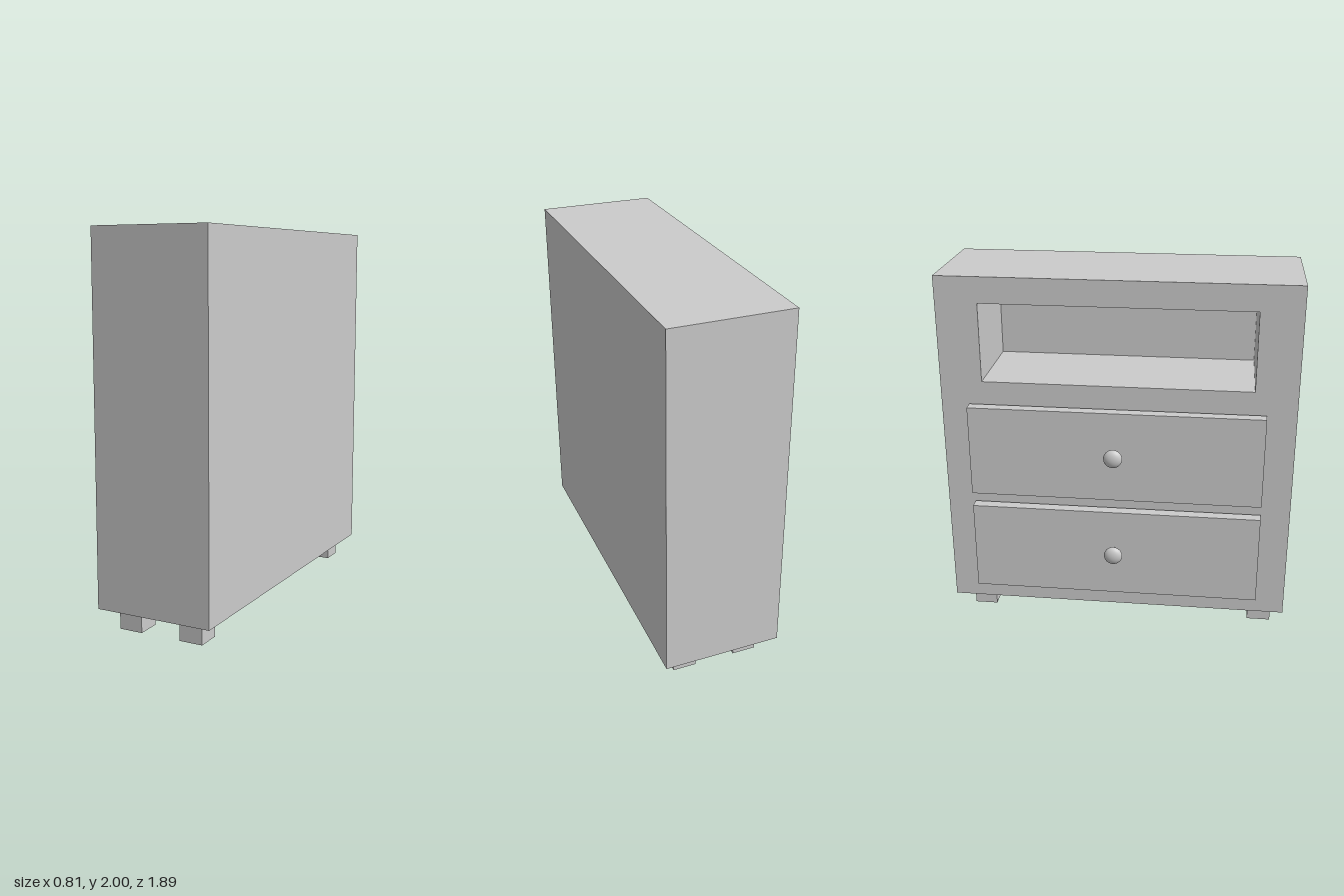
import * as THREE from 'three';

const material = new THREE.MeshStandardMaterial({ color: 0xcccccc });

function add(parent, name, geometry, x = 0, y = 0, z = 0) {
  const mesh = new THREE.Mesh(geometry, material);
  mesh.name = name;
  mesh.position.set(x, y, z);
  parent.add(mesh);
  return mesh;
}

// Box given by its limits on each axis
function addBox(parent, name, [x0, x1], [y0, y1], [z0, z1]) {
  return add(parent, name, new THREE.BoxGeometry(x1 - x0, y1 - y0, z1 - z0),
    (x0 + x1) / 2, (y0 + y1) / 2, (z0 + z1) / 2);
}

// Cabinet skin: rectangles from the closed side, over the open face and into the recess
function cabinetGeometry() {
  const rect = (x, halfZ, y0, y1) =>
    [[x, y0, -halfZ], [x, y0, halfZ], [x, y1, halfZ], [x, y1, -halfZ]];
  const loops = [
    rect(0.405, 0.945, 0.11, 2),
    rect(-0.23, 0.945, 0.11, 2),
    rect(-0.23, 0.72, 1.435, 1.86),
    rect(0.285, 0.72, 1.435, 1.86),
  ];
  const positions = [];
  const quad = (a, b, c, d) => positions.push(...a, ...b, ...c, ...a, ...c, ...d);
  for (let i = 0; i < loops.length - 1; i++) {
    for (let j = 0; j < 4; j++) {
      const k = (j + 1) % 4;
      quad(loops[i][j], loops[i][k], loops[i + 1][k], loops[i + 1][j]);
    }
  }
  quad(...[...loops[0]].reverse());
  quad(...loops[3]);
  const geometry = new THREE.BufferGeometry();
  geometry.setAttribute('position', new THREE.Float32BufferAttribute(positions, 3));
  geometry.computeVertexNormals();
  return geometry;
}

export function createModel() {
  const model = new THREE.Group();
  model.name = 'cabinet';

  add(model, 'cabinetBody', cabinetGeometry());

  // Four square feet
  for (const x of [[-0.143, -0.015], [0.203, 0.33]]) {
    for (const z of [[-0.857, -0.73], [0.75, 0.88]]) {
      addBox(model, 'foot', x, [0, 0.11], z);
    }
  }

  // Two drawers, each a panel with a round knob on a stem
  for (const [name, y0, knobY] of [['lowerDrawer', 0.23, 0.505], ['upperDrawer', 0.81, 1.086]]) {
    const drawer = new THREE.Group();
    drawer.name = name;
    model.add(drawer);
    addBox(drawer, 'drawerFront', [-0.307, -0.246], [y0, y0 + 0.503], [-0.79, 0.786]);
    const stem = add(drawer, 'knobStem', new THREE.CylinderGeometry(0.014, 0.014, 0.07, 20),
      -0.34, knobY, -0.004);
    stem.rotation.z = Math.PI / 2;
    const knob = add(drawer, 'knob', new THREE.SphereGeometry(0.05, 32, 20), -0.375, knobY, -0.004);
    knob.scale.x = 0.6;
  }

  return model;
}
